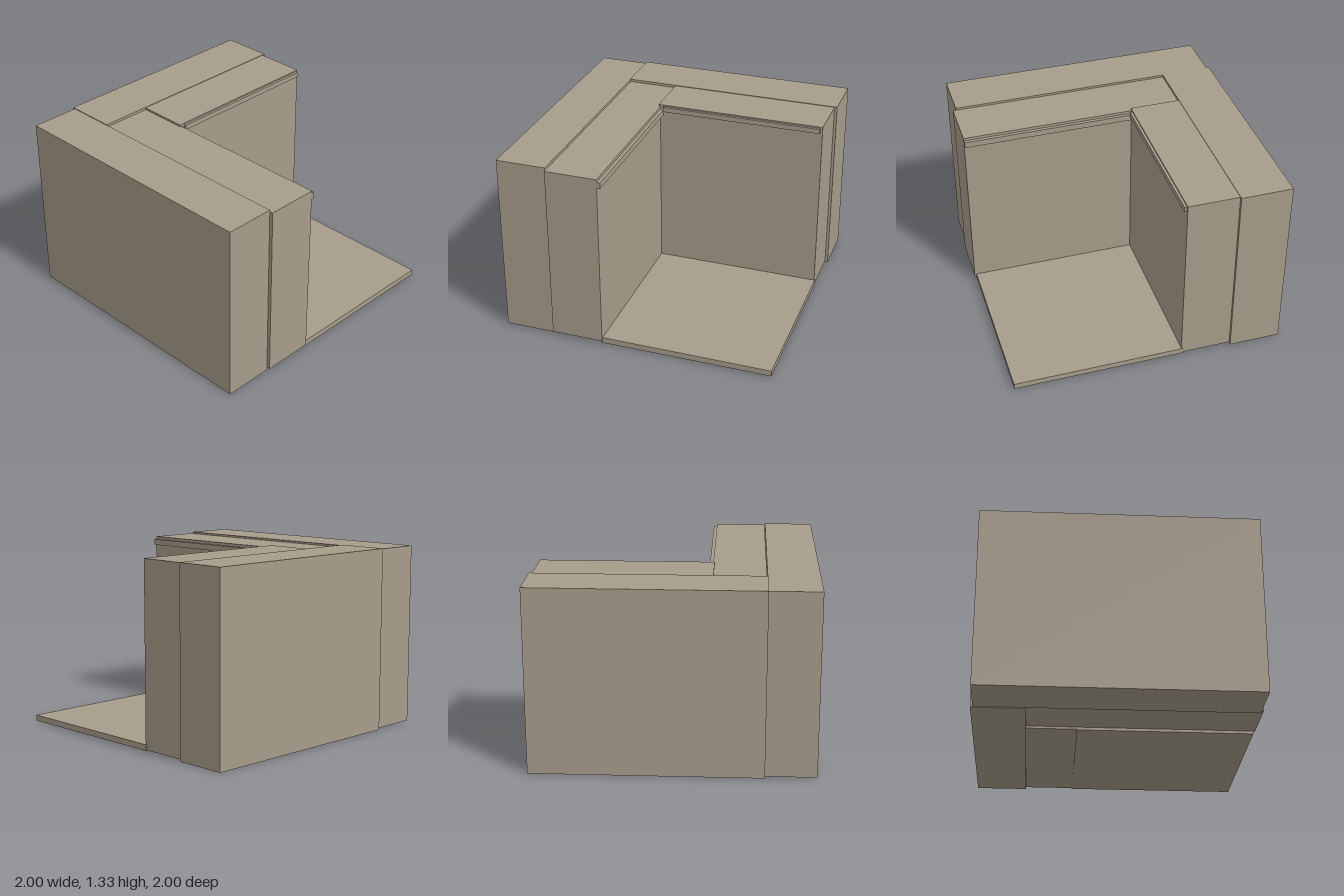
import * as THREE from 'three';

export function createModel() {
  const group = new THREE.Group();
  const stone = new THREE.MeshStandardMaterial({ color: 0xa69c8a });
  stone.name = 'warm grey stone';

  // Box given by its lower and upper limits on each axis
  function block(name, [x0, x1], [y0, y1], [z0, z1]) {
    const mesh = new THREE.Mesh(new THREE.BoxGeometry(x1 - x0, y1 - y0, z1 - z0), stone);
    mesh.position.set((x0 + x1) / 2, (y0 + y1) / 2, (z0 + z1) / 2);
    mesh.name = name;
    group.add(mesh);
  }

  // Outer walls
  block('outerSideWall', [-1, -0.637], [0.007, 1.329], [-0.983, 0.978]);
  block('outerBackWall', [-0.64, 1], [0, 1.334], [-1, -0.625]);

  // Inner walls
  block('innerSideWall', [-0.633, -0.255], [0.025, 1.315], [-0.63, 1]);
  block('innerBackWall', [-0.267, 0.98], [0.008, 1.33], [-0.628, -0.254]);

  // Floor slab
  block('floor', [-0.265, 0.986], [0.004, 0.047], [-0.265, 0.986]);

  // Trim rails under the wall tops
  block('sideTrim', [-0.256, -0.23], [1.25, 1.294], [-0.255, 0.998]);
  block('backTrim', [-0.23, 0.964], [1.283, 1.32], [-0.256, -0.235]);

  return group;
}
